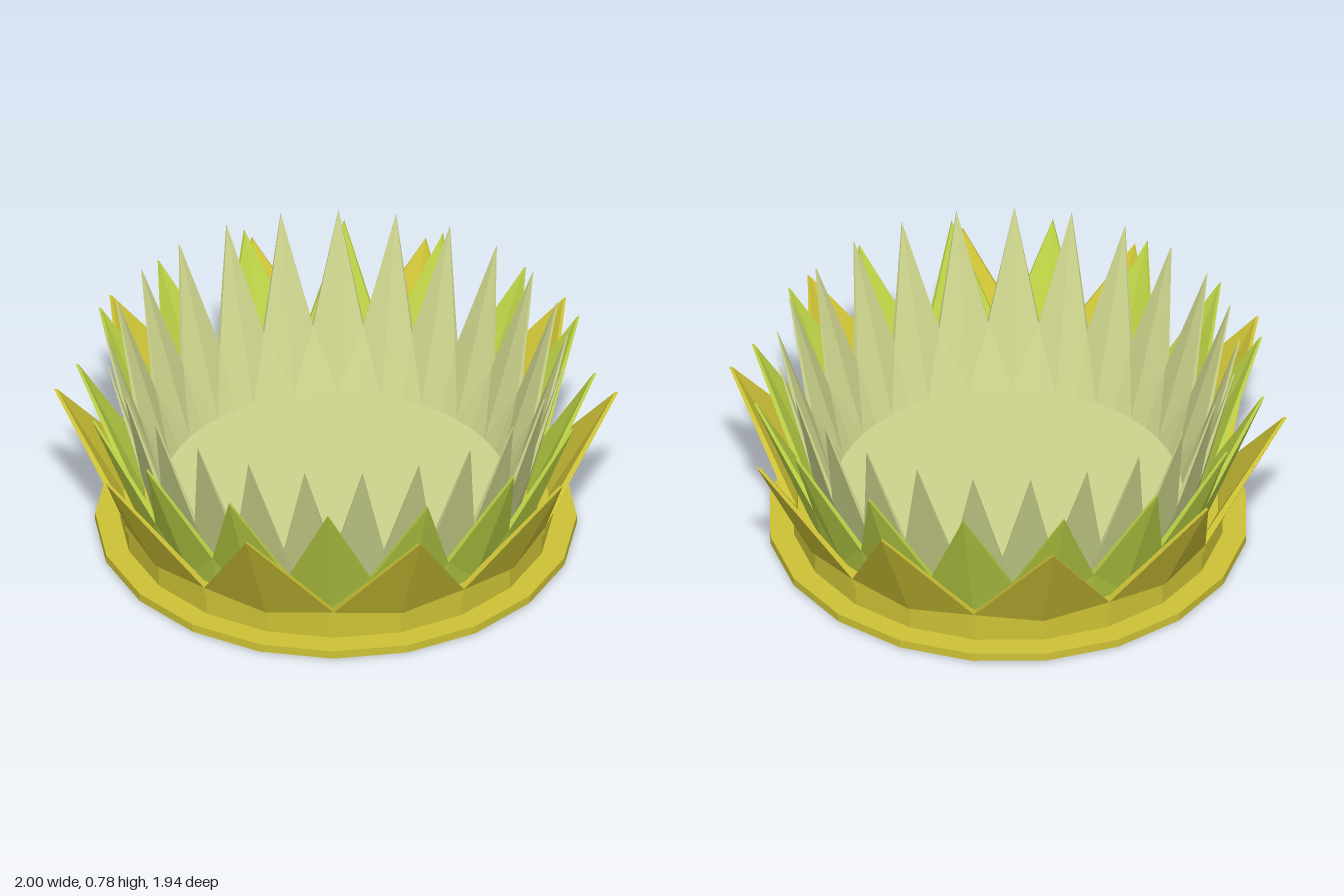
import * as THREE from 'three';

const material = (name, color) => Object.assign(new THREE.MeshStandardMaterial({ color, side: THREE.DoubleSide, flatShading: true }), { name });
const polar = (r, y, a) => [r * Math.cos(a), y, r * Math.sin(a)];

// Ring of folded spikes; base, valley and tip are each [outer radius, inner radius, height]
function spikeRing(count, phase, base, valley, tip) {
  const points = [];
  const tri = (flip, a, b, c) => points.push(...a, ...(flip ? c : b), ...(flip ? b : c));
  const step = Math.PI / count;
  for (let i = 0; i < count; i++) {
    const a = THREE.MathUtils.degToRad(phase) + 2 * step * i;
    for (const s of [1, -1]) {
      const b = a + s * step;
      const skins = [0, 1].map((k) => ({
        A: polar(base[k], base[2], a), M: polar(base[k], base[2], b),
        T: polar(tip[k], tip[2], a), V: polar(valley[k], valley[2], b),
      }));
      // outer and inner skin
      skins.forEach(({ A, M, T, V }, k) => {
        const flip = (s < 0) !== (k === 1);
        tri(flip, A, T, V);
        tri(flip, A, V, M);
      });
      // thin rim joining the skins
      const [o, n] = skins;
      tri(s < 0, o.T, n.T, n.V);
      tri(s < 0, o.T, n.V, o.V);
    }
  }
  const geometry = new THREE.BufferGeometry();
  geometry.setAttribute('position', new THREE.Float32BufferAttribute(points, 3));
  geometry.computeVertexNormals();
  return geometry;
}

// Faceted disc between two heights, with corners lined up to the given angle
function disc(radius, y0, y1, sides, phase) {
  const geometry = new THREE.CylinderGeometry(radius, radius, y1 - y0, sides);
  geometry.rotateY(THREE.MathUtils.degToRad(90 - phase) - Math.PI / 2);
  geometry.translate(0, (y0 + y1) / 2, 0);
  return geometry;
}

export function createModel() {
  const model = new THREE.Group();
  model.name = 'spikedCrown';
  const gold = material('gold', 0xcdc236);
  const lime = material('lime', 0xbcd246);
  const pale = material('paleGreen', 0xcdd48c);
  const add = (name, geometry, mat) => {
    const mesh = new THREE.Mesh(geometry, mat);
    mesh.name = name;
    model.add(mesh);
  };

  // base
  add('baseFlange', disc(0.855, 0.005, 0.036, 20, 3.6), gold);
  add('baseBand', disc(0.77, 0.036, 0.128, 20, 3.6), gold);
  add('undersideDisc', disc(0.62, 0, 0.005, 50, 7.2), pale);

  // three nested rings of spikes
  add('outerSpikes', spikeRing(10, 3.6, [0.785, 0.755, 0.128], [0.785, 0.76, 0.155], [1.002, 0.99, 0.57]), gold);
  add('middleSpikes', spikeRing(16, 13.8, [0.72, 0.68, 0.128], [0.755, 0.735, 0.27], [0.925, 0.915, 0.665]), lime);
  add('innerSpikes', spikeRing(25, 7.2, [0.66, 0.62, 0.13], [0.725, 0.71, 0.36], [0.825, 0.82, 0.78]), pale);

  // floor inside the crown
  add('floor', disc(0.63, 0.128, 0.132, 50, 7.2), pale);
  return model;
}
